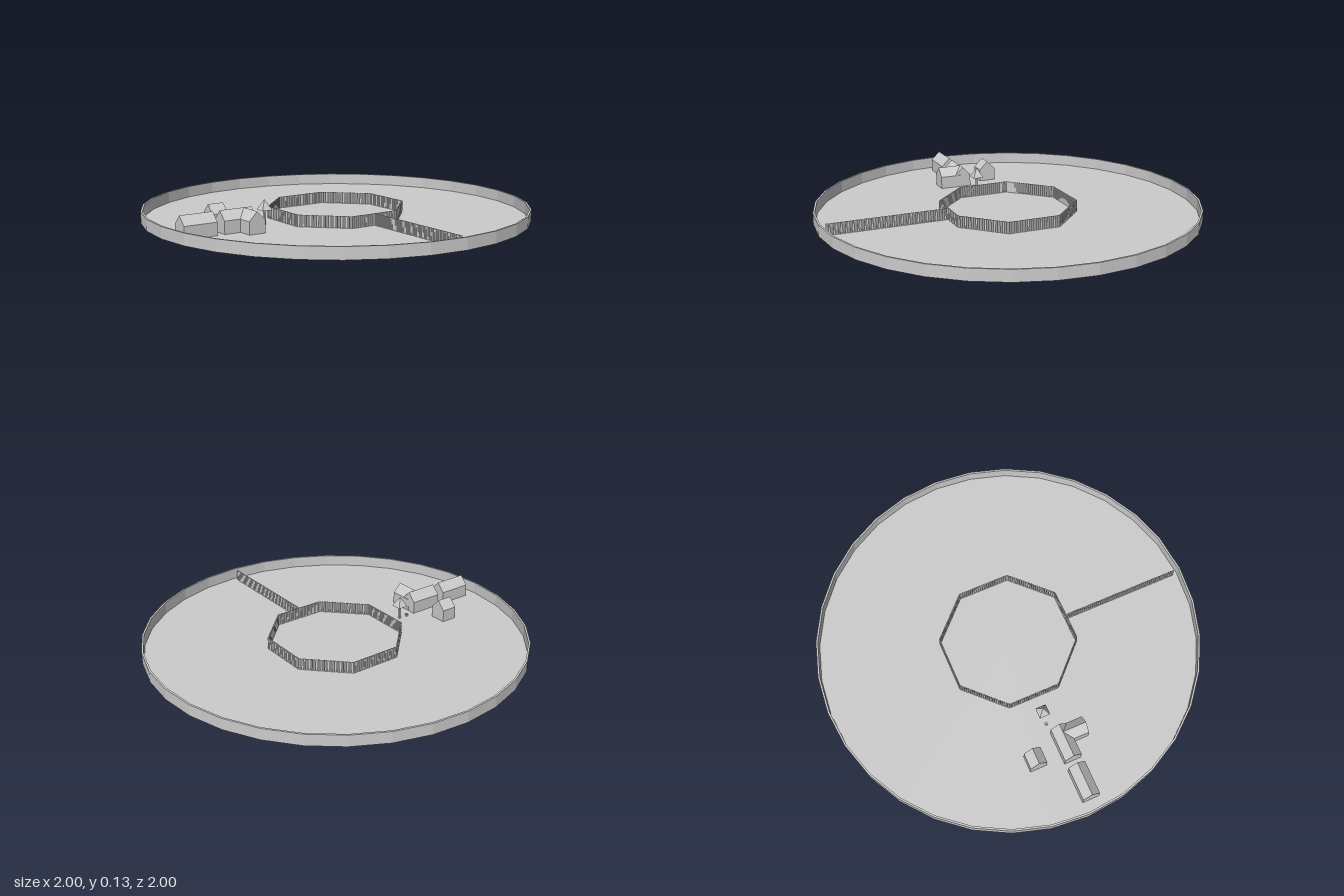
import * as THREE from 'three';

const grey = new THREE.MeshStandardMaterial({ color: 0xcccccc, flatShading: true });
const thin = new THREE.MeshStandardMaterial({ color: 0xcccccc, flatShading: true, side: THREE.DoubleSide });
const WALL_HEIGHT = 0.06;

function add(parent, name, geometry, x = 0, y = 0, z = 0, material = grey) {
  const mesh = new THREE.Mesh(geometry, material);
  mesh.name = name;
  mesh.position.set(x, y, z);
  parent.add(mesh);
  return mesh;
}

// Row of closely set pickets between two ground points [x, z]
function picketRow(name, [x0, z0], [x1, z1], spacing = 0.012) {
  const row = new THREE.Group();
  row.name = name;
  const dx = x1 - x0, dz = z1 - z0;
  const count = Math.round(Math.hypot(dx, dz) / spacing);
  const picket = new THREE.BoxGeometry(0.009, WALL_HEIGHT, 0.006);
  for (let i = 0; i < count; i++) {
    const t = (i + 0.5) / count;
    const mesh = add(row, 'picket', picket, x0 + dx * t, WALL_HEIGHT / 2, z0 + dz * t);
    mesh.rotation.y = -Math.atan2(dz, dx);
  }
  return row;
}

// Gabled house with its ridge along z, centred on its footprint
function houseGeometry(width, length, eave = 0.065, ridge = 0.11) {
  const w = width / 2;
  const gable = new THREE.Shape([
    new THREE.Vector2(-w, 0), new THREE.Vector2(w, 0), new THREE.Vector2(w, eave),
    new THREE.Vector2(0, ridge), new THREE.Vector2(-w, eave),
  ]);
  return new THREE.ExtrudeGeometry(gable, { depth: length, bevelEnabled: false })
    .translate(0, 0, -length / 2);
}

export function createModel() {
  const model = new THREE.Group();
  model.name = 'walledVillage';

  // Round ground plate
  add(model, 'ground', new THREE.CircleGeometry(0.998, 32).rotateX(-Math.PI / 2), 0, 0, 0, thin);

  // Outer ring wall
  const wallProfile = [[1, 0], [1, WALL_HEIGHT], [0.99, WALL_HEIGHT], [0.99, 0]]
    .map(([r, y]) => new THREE.Vector2(r, y));
  add(model, 'outerWall', new THREE.LatheGeometry(wallProfile, 32), 0, 0, 0, thin);

  // Octagonal inner fence
  const innerFence = new THREE.Group();
  innerFence.name = 'innerFence';
  const radius = 0.33 / Math.cos(Math.PI / 8);
  const corner = (i) => {
    const a = (i + 0.5) * Math.PI / 4;
    return [radius * Math.cos(a), radius * Math.sin(a)];
  };
  for (let i = 0; i < 8; i++) innerFence.add(picketRow('fenceSide', corner(i), corner(i + 1)));
  model.add(innerFence);

  // Straight fence from the octagon towards the outer wall
  model.add(picketRow('dividingFence', [0.33, 0], [0.965, 0]));

  // Houses
  add(model, 'smallHouse', houseGeometry(0.09, 0.085), -0.13, 0, 0.638);
  add(model, 'frontHouse', houseGeometry(0.09, 0.176), 0.044, 0, 0.838);
  add(model, 'cornerHouse', houseGeometry(0.09, 0.176), 0.044, 0, 0.624);
  add(model, 'cornerHouseWing', houseGeometry(0.09, 0.126).rotateY(Math.PI / 2), 0.108, 0, 0.58);

  // Shelter: pyramid roof on a post, with a small block beside it
  add(model, 'shelterPost', new THREE.BoxGeometry(0.01, 0.08, 0.01), 0, 0.04, 0.435);
  const roof = new THREE.ConeGeometry(0.0285 * Math.SQRT2, 0.053, 4).rotateY(Math.PI / 4);
  add(model, 'shelterRoof', roof, 0, 0.1015, 0.435);
  add(model, 'smallBlock', new THREE.BoxGeometry(0.012, 0.014, 0.012), 0, 0.007, 0.485);

  return model;
}
